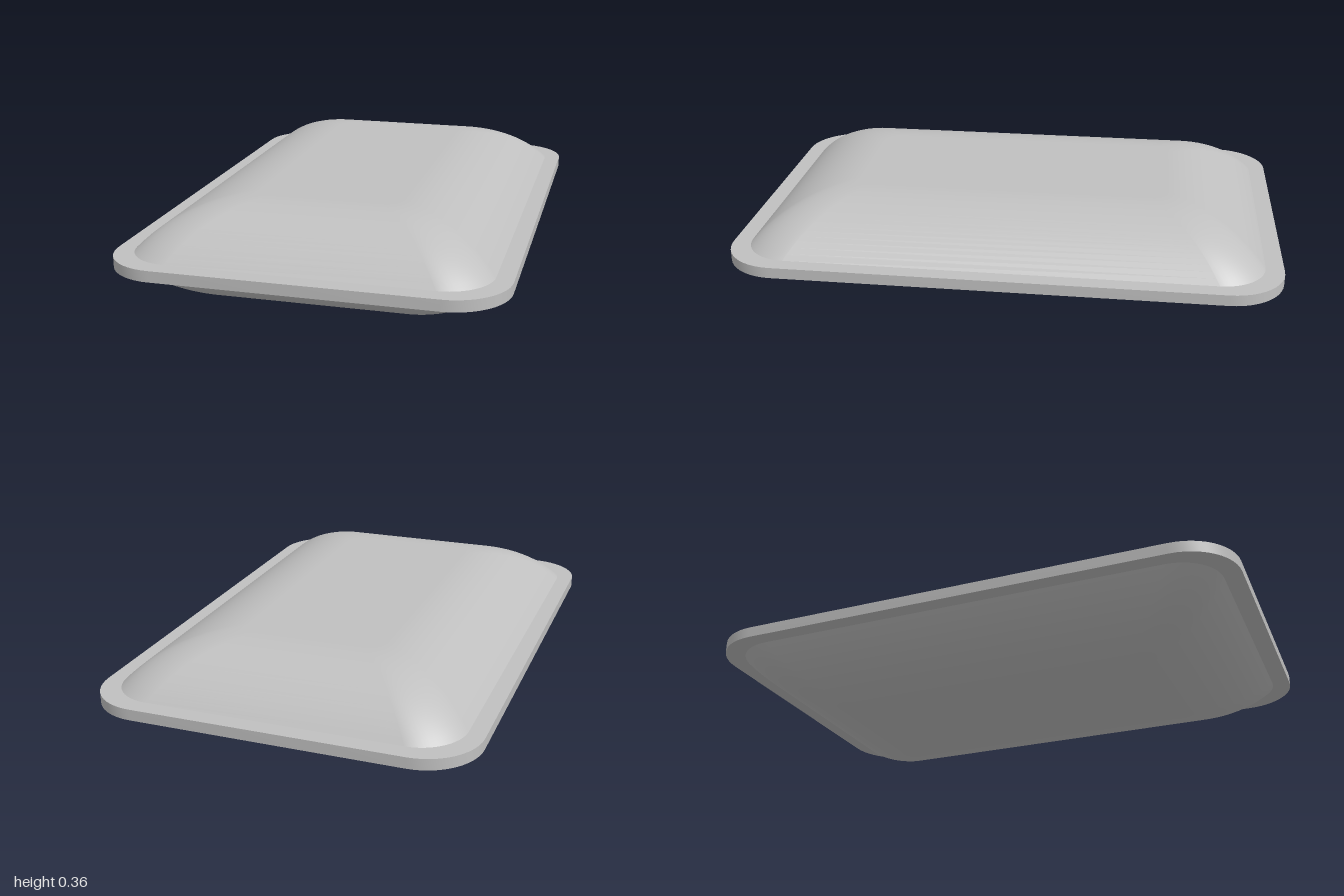
import * as THREE from 'three';
import { toCreasedNormals } from 'three/addons/utils/BufferGeometryUtils.js';

const CORNER_STEPS = 12;

// Rounded rectangle outline, counter-clockwise, as [x, y] pairs
function outline(hx, hy, r) {
  const pts = [];
  [[1, 1], [-1, 1], [-1, -1], [1, -1]].forEach(([sx, sy], q) => {
    for (let i = 0; i <= CORNER_STEPS; i++) {
      const a = (q + i / CORNER_STEPS) * Math.PI / 2;
      pts.push([sx * (hx - r) + r * Math.cos(a), sy * (hy - r) + r * Math.sin(a)]);
    }
  });
  return pts;
}

// Puffed cushion: rounded outline rising along a circular arc to a flat middle
function domeGeometry(height) {
  const base = outline(0.625, 0.935, 0.165);
  const top = outline(0.26, 0.58, 0.06);
  const n = base.length, rings = 20;
  const run = 0.355, R = (run * run + height * height) / (2 * height);
  const pos = [], index = [];
  for (let k = 0; k <= rings; k++) {
    const t = k / rings, d = run * (1 - t);
    const y = height - (R - Math.sqrt(R * R - d * d));
    for (let i = 0; i < n; i++) {
      const x = base[i][0] + (top[i][0] - base[i][0]) * t;
      const z = -(base[i][1] + (top[i][1] - base[i][1]) * t);
      pos.push(x, y, z);
    }
  }
  for (let k = 0; k < rings; k++) {
    for (let i = 0; i < n; i++) {
      const j = (i + 1) % n;
      const a = k * n + i, b = k * n + j, c = a + n, e = b + n;
      index.push(a, b, e, a, e, c);
    }
  }
  // Flat middle
  const centre = pos.length / 3;
  pos.push(0, height, 0);
  for (let i = 0; i < n; i++) index.push(rings * n + i, rings * n + (i + 1) % n, centre);

  const g = new THREE.BufferGeometry();
  g.setAttribute('position', new THREE.Float32BufferAttribute(pos, 3));
  g.setIndex(index);
  g.computeVertexNormals();
  return g;
}

export function createModel() {
  const group = new THREE.Group();
  group.name = 'cushion';
  const grey = new THREE.MeshStandardMaterial({ color: 0xc0c0c0 });
  grey.name = 'light grey';

  // Flat rim with rounded corners
  const shape = new THREE.Shape(outline(0.686, 1, 0.2).map(([x, y]) => new THREE.Vector2(x, y)));
  const rimGeo = new THREE.ExtrudeGeometry(shape, { depth: 0.04, bevelEnabled: false });
  rimGeo.rotateX(-Math.PI / 2);
  const rim = new THREE.Mesh(toCreasedNormals(rimGeo, Math.PI / 5), grey);
  rim.name = 'rim';
  rim.position.y = 0.158;
  group.add(rim);

  // Matching domes above and below the rim
  const dome = domeGeometry(0.158);
  const upper = new THREE.Mesh(dome, grey);
  upper.name = 'upperDome';
  upper.position.y = 0.198;
  const lower = new THREE.Mesh(dome, grey);
  lower.name = 'lowerDome';
  lower.rotation.x = Math.PI;
  lower.position.y = 0.158;
  group.add(upper, lower);

  return group;
}
